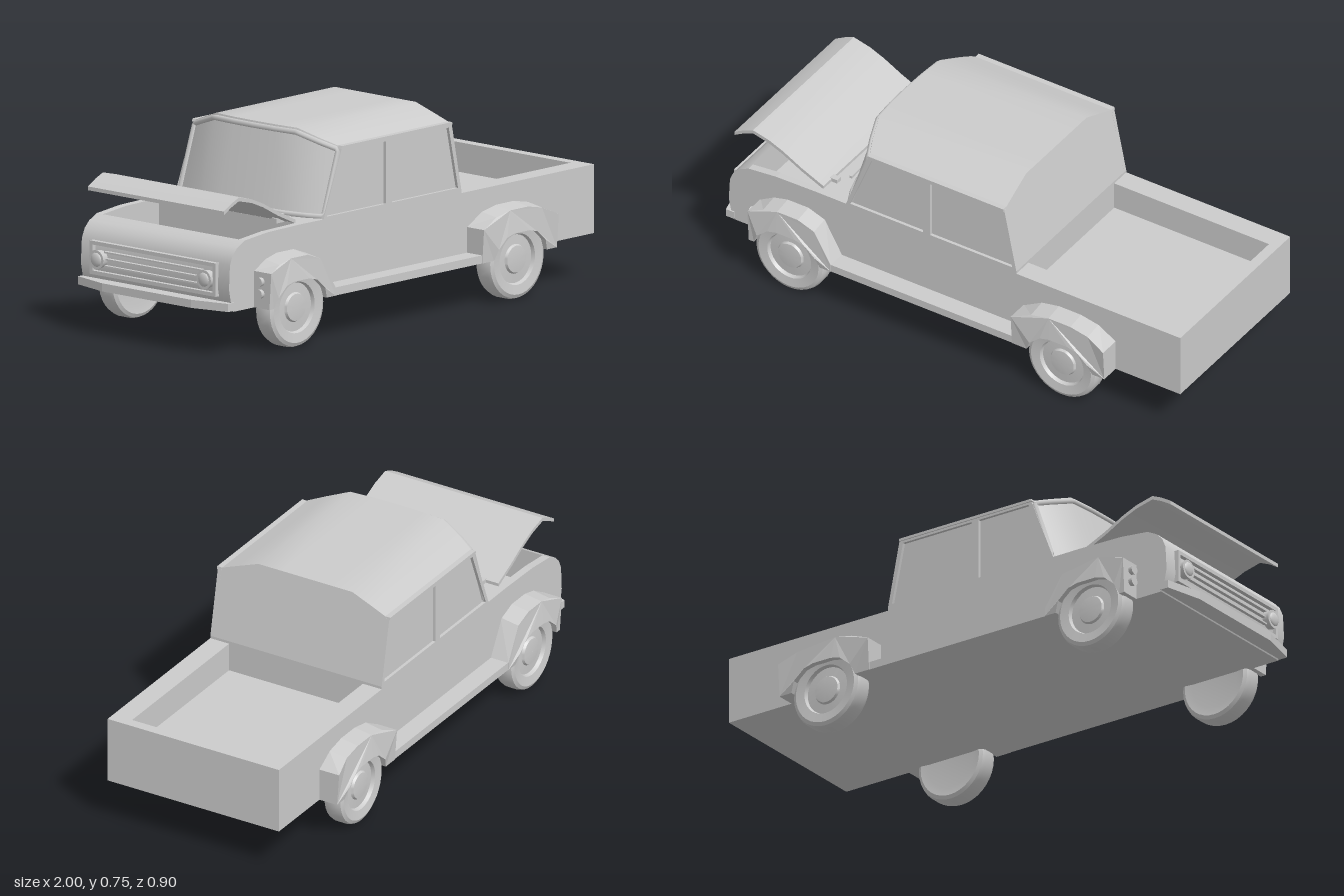
import * as THREE from 'three';
import { toCreasedNormals } from 'three/addons/utils/BufferGeometryUtils.js';

const W = 0.365; // half width of the body

export function createModel() {
  const truck = new THREE.Group();
  const mat = new THREE.MeshStandardMaterial({ color: 0xcccccc, side: THREE.DoubleSide });

  function add(name, geo, x = 0, y = 0, z = 0, parent = truck) {
    const m = new THREE.Mesh(geo, mat);
    m.name = name;
    m.position.set(x, y, z);
    parent.add(m);
    return m;
  }
  const box = (name, x0, x1, y0, y1, z0, z1) =>
    add(name, new THREE.BoxGeometry(x1 - x0, y1 - y0, z1 - z0), (x0 + x1) / 2, (y0 + y1) / 2, (z0 + z1) / 2);
  const path = (pts) => pts.map(([x, y]) => new THREE.Vector2(x, y));
  // Side outline in x,y swept from z0 to z1
  function sweep(pts, z0, z1, holes = []) {
    const shape = new THREE.Shape(path(pts));
    holes.forEach((h) => shape.holes.push(new THREE.Path(path(h))));
    const g = new THREE.ExtrudeGeometry(shape, { depth: z1 - z0, bevelEnabled: false });
    return g.translate(0, 0, z0);
  }
  // Same outline on both sides of the truck
  function pair(name, pts, z0, z1, holes) {
    add(name, sweep(pts, z0, z1, holes));
    add(name, sweep(pts, -z1, -z0, holes));
  }

  // Hull with engine bay and cargo bed sunk into the top
  add('hull', toCreasedNormals(sweep([
    [-0.93, 0.165], [1, 0.165], [1, 0.42], [0.96, 0.42], [0.96, 0.31], [0.29, 0.31], [0.29, 0.43],
    [-0.57, 0.435], [-0.57, 0.29], [-0.87, 0.29], [-0.87, 0.42], [-0.91, 0.4], [-0.935, 0.375],
    [-0.95, 0.34], [-0.955, 0.25], [-0.945, 0.2],
  ], -W, W), 0.6));
  pair('bedWall', [[0.29, 0.31], [0.96, 0.31], [0.96, 0.42], [0.29, 0.42]], 0.285, W);
  pair('bayWall', [[-0.87, 0.29], [-0.57, 0.29], [-0.57, 0.435], [-0.75, 0.432], [-0.87, 0.42]], 0.335, W);

  // Cab: sections across the width [z, front bottom x, front top x, top y]
  const half = [[0, -0.505, -0.42, 0.745], [0.1, -0.503, -0.418, 0.745], [0.2, -0.495, -0.41, 0.745],
    [0.29, -0.47, -0.38, 0.713], [0.353, -0.44, -0.352, 0.69]];
  const sections = [...half.slice(1).reverse().map(([z, a, b, y]) => [-z, a, b, y]), ...half];
  const rearX = (y) => 0.29 - (y - 0.43) * 0.206;
  const pos = [], idx = [];
  sections.forEach(([z, a, b, y], i) => {
    pos.push(a, 0.43, z, b, y, z, rearX(y), y, z, 0.29, 0.43, z);
    if (!i) return;
    for (let k = 0; k < 4; k++) {
      const p = (i - 1) * 4 + k, q = (i - 1) * 4 + (k + 1) % 4;
      idx.push(p, p + 4, q, q, p + 4, q + 4);
    }
  });
  const e = (sections.length - 1) * 4;
  idx.push(0, 1, 2, 0, 2, 3, e, e + 2, e + 1, e, e + 3, e + 2);
  const cab = new THREE.BufferGeometry();
  cab.setAttribute('position', new THREE.Float32BufferAttribute(pos, 3));
  cab.setIndex(idx);
  add('cab', toCreasedNormals(cab, 0.5));

  // Door frames around the side windows
  pair('windowFrame', [[-0.45, 0.43], [0.29, 0.43], [0.238, 0.685], [-0.35, 0.685]], 0.35, W, [
    [[-0.43, 0.442], [-0.115, 0.442], [-0.115, 0.673], [-0.338, 0.673]],
    [[-0.083, 0.442], [0.272, 0.442], [0.222, 0.673], [-0.083, 0.673]],
  ]);
  // Drip rail along the roof edge
  pair('roofRail', [[-0.357, 0.682], [0.238, 0.682], [0.236, 0.692], [-0.352, 0.692]], 0.345, 0.369);

  // Windshield surround following the curved glass
  const glass = (s, v) => new THREE.Vector3(
    THREE.MathUtils.lerp(s[1], s[2], v), THREE.MathUtils.lerp(0.43, s[3], v), s[0]);
  const loop = [...sections.map((s) => glass(s, 0.04)), ...sections.map((s) => glass(s, 0.95)).reverse()];
  const surround = new THREE.CurvePath();
  loop.forEach((p, i) => surround.add(new THREE.LineCurve3(p, loop[(i + 1) % loop.length])));
  add('windshieldSurround', new THREE.TubeGeometry(surround, 120, 0.011, 6, true));

  // Raised hood, a thin bent sheet with a folded front lip
  const hoodTop = [[-0.95, 0.535], [-0.91, 0.558], [-0.87, 0.575], [-0.8, 0.558], [-0.74, 0.533], [-0.66, 0.49], [-0.565, 0.447]];
  const hoodLow = hoodTop.map(([x, y]) => [x, y - 0.014]).reverse();
  const hood = sweep([...hoodLow, ...hoodTop], -0.335, 0.335);
  add('hood', toCreasedNormals(hood, 0.4));
  for (const s of [-1, 1]) {
    box('hoodHinge', -0.61, -0.54, 0.432, 0.45, s * 0.27 - 0.012, s * 0.27 + 0.012);
    const wiper = box('wiper', -0.525, -0.515, 0.437, 0.447, s * 0.13 - 0.1, s * 0.13 + 0.1);
    wiper.rotation.y = s * 0.05;
  }

  // Grille: frame and horizontal bars
  const grille = new THREE.Group();
  grille.name = 'grille';
  truck.add(grille);
  const bar = (name, y, h, z, w) => add(name, new THREE.BoxGeometry(0.02, h, w), -0.958, y, z, grille);
  bar('grilleTop', 0.335, 0.014, 0, 0.62);
  bar('grilleBottom', 0.225, 0.014, 0, 0.62);
  for (const s of [-1, 1]) bar('grilleEnd', 0.28, 0.11, s * 0.303, 0.014);
  for (let i = 0; i < 3; i++) bar('grilleBar', 0.255 + i * 0.026, 0.006, 0, 0.48);

  // Headlights and fender marker lights
  const lamp = (r, l) => new THREE.CylinderGeometry(r, r * 0.85, l, 20).rotateZ(Math.PI / 2);
  for (const s of [-1, 1]) {
    add('headlight', lamp(0.036, 0.035), -0.965, 0.278, s * 0.265);
    add('headlightLens', new THREE.SphereGeometry(0.027, 16, 8).scale(0.4, 1, 1), -0.98, 0.278, s * 0.265);
    for (const y of [0.22, 0.265]) add('markerLight', lamp(0.018, 0.02), -0.827, y, s * 0.4);
  }

  // Front bumper with swept-back ends
  const bumper = new THREE.Shape(path([[-0.93, -0.37], [-0.965, -0.37], [-1, -0.22], [-1, 0.22], [-0.965, 0.37], [-0.93, 0.37]]));
  add('bumper', new THREE.ExtrudeGeometry(bumper, { depth: 0.03, bevelEnabled: false }).rotateX(Math.PI / 2), 0, 0.2, 0);

  // Wheel arch flares, outer face slightly bulged, top edge sloping outward
  function flare(name, pts) {
    const g = sweep(pts, 0.36, 0.44);
    const p = g.attributes.position;
    for (let i = 0; i < p.count; i++) {
      const y = p.getY(i);
      if (p.getZ(i) < 0.4) continue;
      p.setZ(i, y > 0.32 ? 0.436 : y > 0.2 ? 0.449 : 0.44);
      if (y > 0.32) p.setY(i, y - 0.012);
    }
    g.computeVertexNormals();
    add(name, g);
    add(name, g.clone().rotateY(Math.PI).scale(-1, 1, 1));
    const mirrored = truck.children[truck.children.length - 1].geometry;
    // Reverse the winding of the mirrored copy
    const q = mirrored.attributes.position;
    for (let i = 0; i < q.count; i += 3) {
      const a = [q.getX(i), q.getY(i), q.getZ(i)];
      q.setXYZ(i, q.getX(i + 1), q.getY(i + 1), q.getZ(i + 1));
      q.setXYZ(i + 1, ...a);
    }
    mirrored.computeVertexNormals();
  }
  const opening = (cx) => [[0.142, 0.165], [0.125, 0.205], [0.08, 0.243], [0.04, 0.253],
    [-0.04, 0.253], [-0.08, 0.243], [-0.125, 0.205], [-0.142, 0.165]].map(([x, y]) => [cx + x, y]);
  flare('frontFlare', [[-0.82, 0.165], [-0.82, 0.3], [-0.76, 0.335], [-0.7, 0.35], [-0.61, 0.35],
    [-0.54, 0.325], [-0.465, 0.195], [-0.465, 0.165], ...opening(-0.655)]);
  flare('rearFlare', [[0.32, 0.165], [0.32, 0.29], [0.4, 0.335], [0.475, 0.35], [0.57, 0.35],
    [0.645, 0.335], [0.72, 0.29], [0.72, 0.165], ...opening(0.525)]);
  pair('runningBoard', [[-0.467, 0.165], [0.32, 0.165], [0.32, 0.195], [-0.467, 0.195]], 0.36, 0.438);

  // Wheels: tyre, dished rim and domed hub in one turned profile
  const wheel = toCreasedNormals(new THREE.LatheGeometry(path([
    [0.001, -0.036], [0.1, -0.036], [0.13, -0.041], [0.143, -0.034], [0.148, -0.02], [0.148, 0.02],
    [0.143, 0.034], [0.13, 0.041], [0.095, 0.036], [0.09, 0.022], [0.055, 0.024], [0.05, 0.033], [0.001, 0.038],
  ]), 36).rotateX(Math.PI / 2), 0.6);
  for (const x of [-0.655, 0.525]) for (const s of [-1, 1]) {
    const m = add(x < 0 ? 'frontWheel' : 'rearWheel', wheel, x, 0.148, s * 0.388);
    if (s < 0) m.rotation.y = Math.PI;
  }
  return truck;
}
